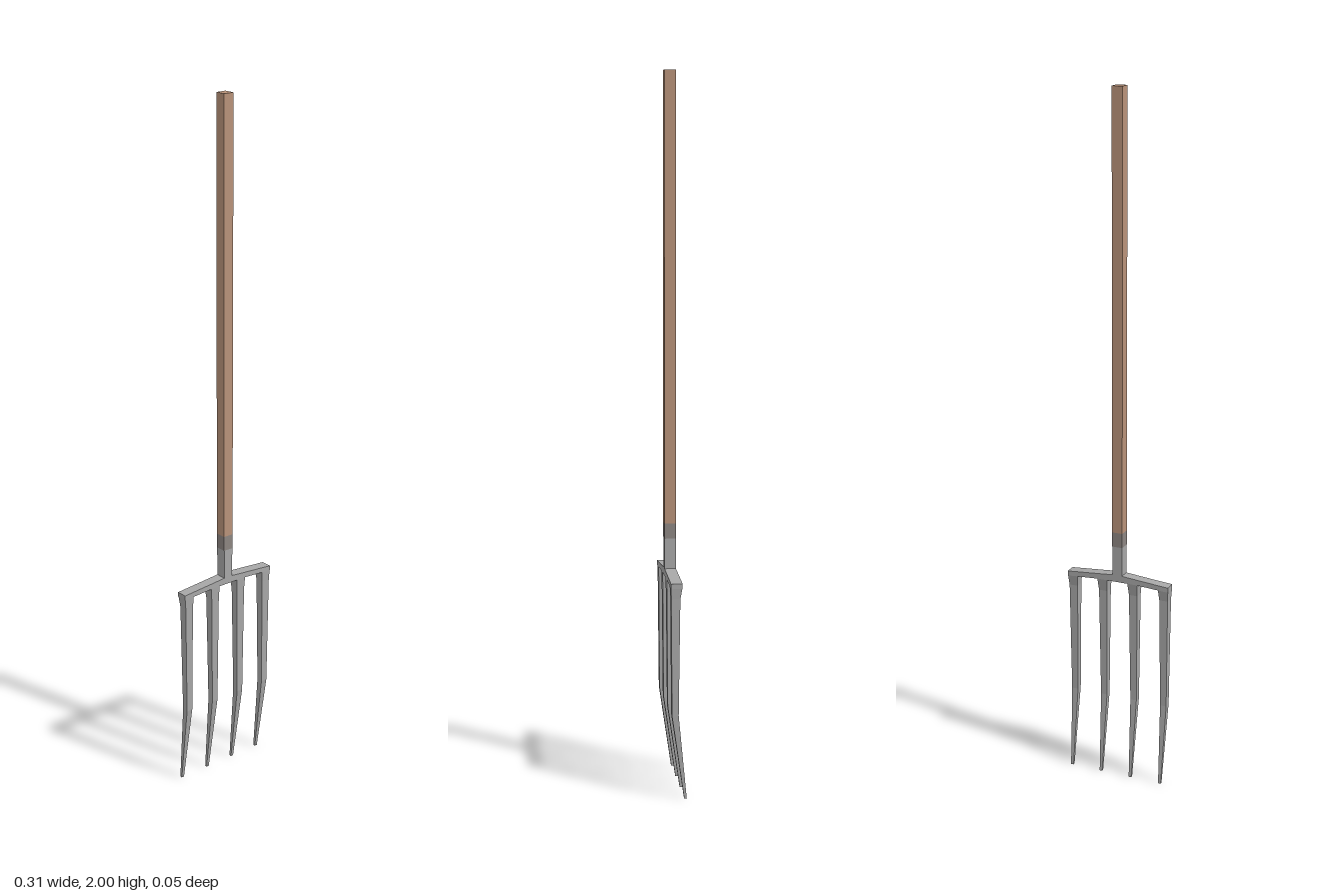
import * as THREE from 'three';

const wood = new THREE.MeshStandardMaterial({ color: 0xb89279, flatShading: true });
wood.name = 'light brown wood';
const steel = new THREE.MeshStandardMaterial({ color: 0xa7a7a7, flatShading: true });
steel.name = 'grey steel';
const darkSteel = new THREE.MeshStandardMaterial({ color: 0x8c8581, flatShading: true });
darkSteel.name = 'dark steel';

const BACK = -0.01, FRONT = 0.022, DEPTH = FRONT - BACK, MID = (FRONT + BACK) / 2;

// Square post section between two heights
function post(name, y0, y1, width, material) {
  const mesh = new THREE.Mesh(new THREE.BoxGeometry(width, y1 - y0, DEPTH), material);
  mesh.position.set(0, (y0 + y1) / 2, MID);
  mesh.name = name;
  return mesh;
}

// Tine rows, top to tip: height, half width, back z, front z
const TINE = [
  [0.606, 0.0155, BACK, FRONT],
  [0.57, 0.0128, -0.004, 0.021],
  [0.24, 0.0095, 0.0, 0.0185],
  [0, 0.004, -0.0235, -0.0165],
];

// A box with three segments, each row of corners moved to its cross-section
function tineGeometry() {
  const geometry = new THREE.BoxGeometry(1, 1, 1, 1, 3, 1);
  const p = geometry.attributes.position;
  for (let i = 0; i < p.count; i++) {
    const [y, half, back, front] = TINE[Math.round((0.5 - p.getY(i)) * 3)];
    p.setXYZ(i, Math.sign(p.getX(i)) * half, y, p.getZ(i) > 0 ? front : back);
  }
  geometry.computeVertexNormals();
  return geometry;
}

export function createModel() {
  const group = new THREE.Group();
  group.name = 'gardenFork';

  // Shaft, ferrule and neck
  group.add(
    post('handle', 0.755, 2, 0.031, wood),
    post('ferrule', 0.712, 0.755, 0.031, darkSteel),
    post('neck', 0.615, 0.712, 0.029, steel),
  );

  // Shallow arched crossbar
  const bar = new THREE.Shape([
    [-0.1565, 0.6], [-0.06, 0.606], [0.06, 0.606], [0.1565, 0.6],
    [0.1565, 0.614], [0.06, 0.622], [0.015, 0.626],
    [-0.015, 0.626], [-0.06, 0.622], [-0.1565, 0.614],
  ].map(([x, y]) => new THREE.Vector2(x, y)));
  const crossbar = new THREE.Mesh(
    new THREE.ExtrudeGeometry(bar, { depth: DEPTH, bevelEnabled: false }), steel);
  crossbar.position.z = BACK;
  crossbar.name = 'crossbar';
  group.add(crossbar);

  // Four tapered tines, bent backwards near the tips
  const geometry = tineGeometry();
  [-0.141, -0.047, 0.047, 0.141].forEach((x, i) => {
    const tine = new THREE.Mesh(geometry, steel);
    tine.position.x = x;
    tine.name = `tine${i + 1}`;
    group.add(tine);
  });

  return group;
}
